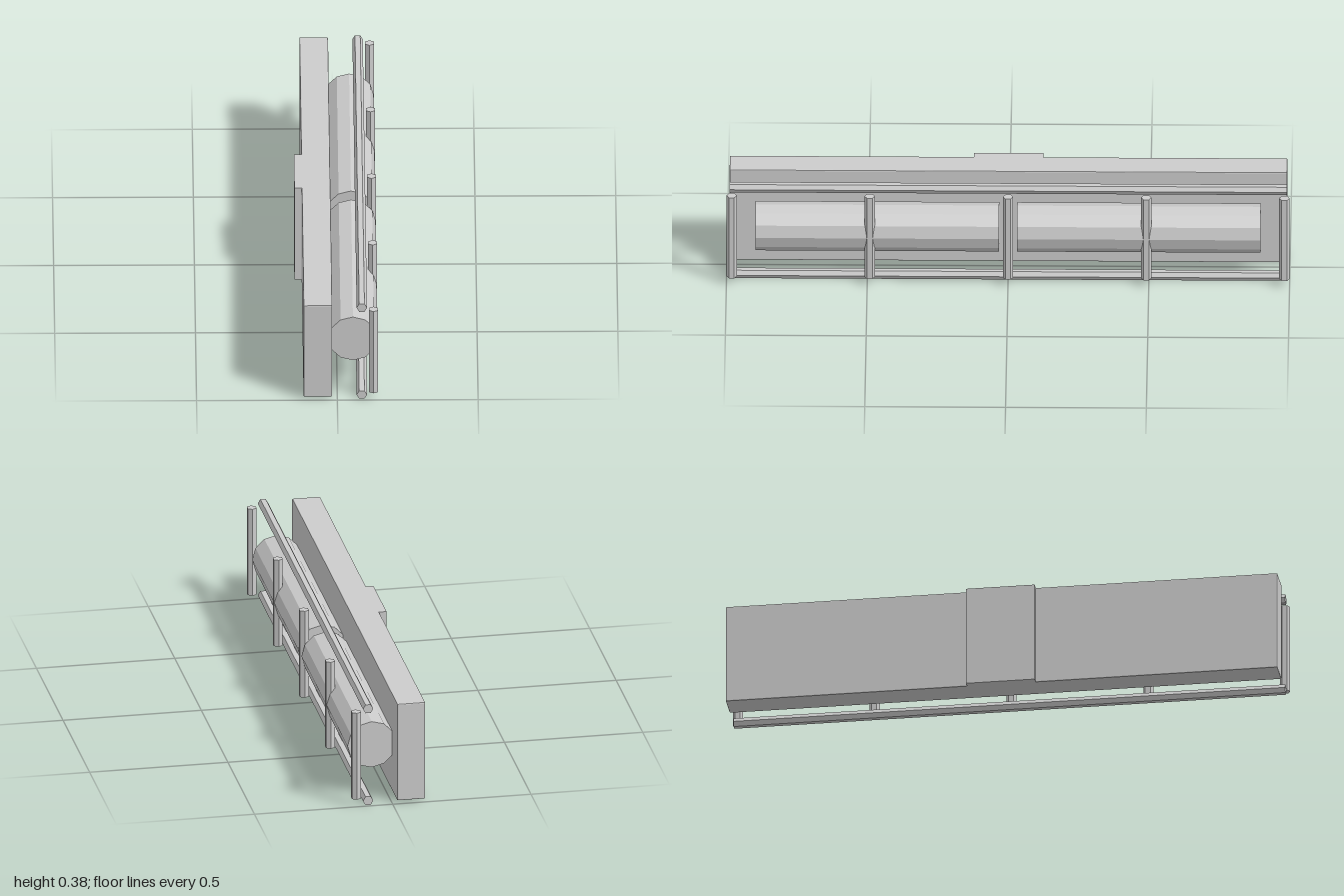
import * as THREE from 'three';
import { RoundedBoxGeometry } from 'three/addons/geometries/RoundedBoxGeometry.js';

export function createModel() {
  const model = new THREE.Group();
  model.name = 'guardedWallLight';
  const paleGrey = new THREE.MeshStandardMaterial({ color: 0xcccccc, flatShading: true });
  paleGrey.name = 'paleGrey';

  const add = (name, geometry, x, y, z) => {
    const mesh = new THREE.Mesh(geometry, paleGrey);
    mesh.name = name;
    mesh.position.set(x, y, z);
    model.add(mesh);
  };

  // Long housing with softened edges, and the mounting block behind it
  add('housing', new RoundedBoxGeometry(0.102, 0.37, 1.98, 1, 0.004), -0.069, 0.193, 0);
  add('mountBlock', new THREE.BoxGeometry(0.06, 0.37, 0.246), -0.116, 0.193, 0);

  // Two twelve-sided tubes end to end, partly sunk into the housing
  const tube = new THREE.CylinderGeometry(0.0875, 0.0875, 0.865, 12).rotateX(Math.PI / 2);
  for (const side of [1, -1]) {
    add(side > 0 ? 'frontTube' : 'backTube', tube, 0.056, 0.1925, side * 0.4645);
  }

  // Six-sided guard rails above and below
  const rail = new THREE.CylinderGeometry(0.0185, 0.0185, 1.98, 6)
    .rotateY(Math.PI / 2).rotateX(Math.PI / 2);
  add('upperRail', rail, 0.087, 0.368, 0);
  add('lowerRail', rail, 0.087, 0.016, 0);

  // Upright guard bars in front of the tubes
  const bar = new THREE.CylinderGeometry(0.0185, 0.0185, 0.331, 6);
  for (const z of [-0.9815, -0.491, 0, 0.491, 0.9815]) {
    add('guardBar', bar, 0.129, 0.1925, z);
  }
  return model;
}
